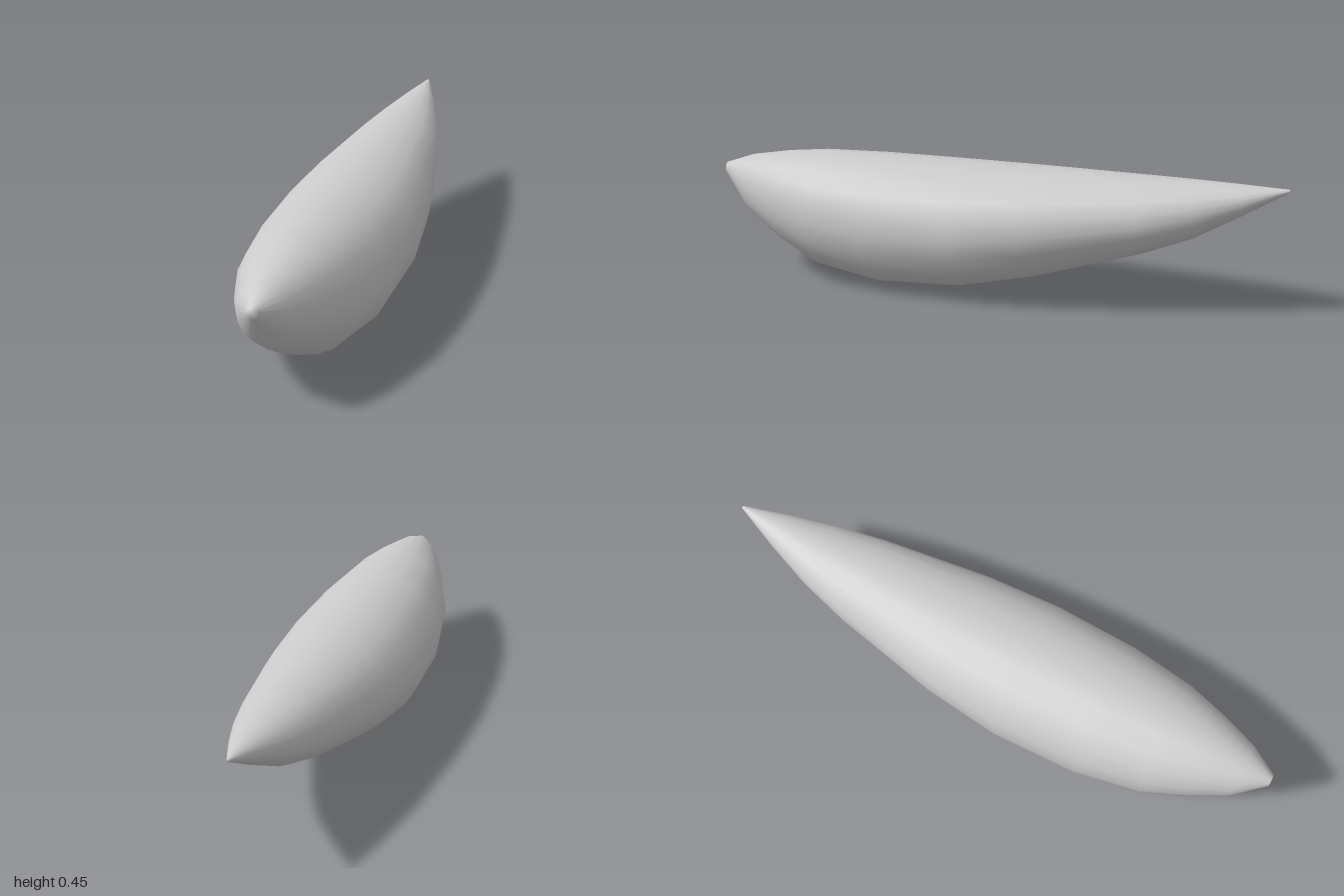
import * as THREE from 'three';

const SIDES = 20;

// Elliptical stations from blunt nose to pointed tail: z, bottom y, top y, half width
const STATIONS = [
  [1.0, 0.34, 0.378, 0.02],
  [0.9, 0.205, 0.414, 0.093],
  [0.77, 0.115, 0.436, 0.15],
  [0.63, 0.04, 0.45, 0.2],
  [0.4, 0.002, 0.455, 0.239],
  [0.1, 0.018, 0.455, 0.249],
  [-0.16, 0.078, 0.455, 0.226],
  [-0.53, 0.194, 0.455, 0.16],
  [-0.7, 0.263, 0.455, 0.117],
  [-0.85, 0.35, 0.454, 0.065],
  [-1.0, 0.442, 0.452, 0.005],
];

// Skin a row of elliptical rings and close both ends
function loftEllipses(stations, sides) {
  const positions = [];
  const index = [];
  for (const [z, bottom, top, halfWidth] of stations) {
    for (let j = 0; j < sides; j++) {
      const a = (j / sides) * Math.PI * 2;
      positions.push(
        halfWidth * Math.cos(a),
        (top + bottom) / 2 + ((top - bottom) / 2) * Math.sin(a),
        z
      );
    }
  }
  const last = stations.length - 1;
  const noseCentre = positions.length / 3;
  const tailCentre = noseCentre + 1;
  for (const [z, bottom, top] of [stations[0], stations[last]]) {
    positions.push(0, (top + bottom) / 2, z);
  }
  for (let j = 0; j < sides; j++) {
    const k = (j + 1) % sides;
    for (let i = 0; i < last; i++) {
      const a = i * sides + j;
      const b = i * sides + k;
      index.push(a, a + sides, b, b, a + sides, b + sides);
    }
    index.push(noseCentre, j, k);
    index.push(tailCentre, last * sides + k, last * sides + j);
  }
  const geometry = new THREE.BufferGeometry();
  geometry.setAttribute('position', new THREE.Float32BufferAttribute(positions, 3));
  geometry.setIndex(index);
  geometry.computeVertexNormals();
  return geometry;
}

export function createModel() {
  const group = new THREE.Group();
  // Single smooth teardrop body with a flat back line and a deep belly
  const body = new THREE.Mesh(
    loftEllipses(STATIONS, SIDES),
    new THREE.MeshStandardMaterial({ color: 0xcccccc })
  );
  body.name = 'body';
  group.add(body);
  return group;
}
